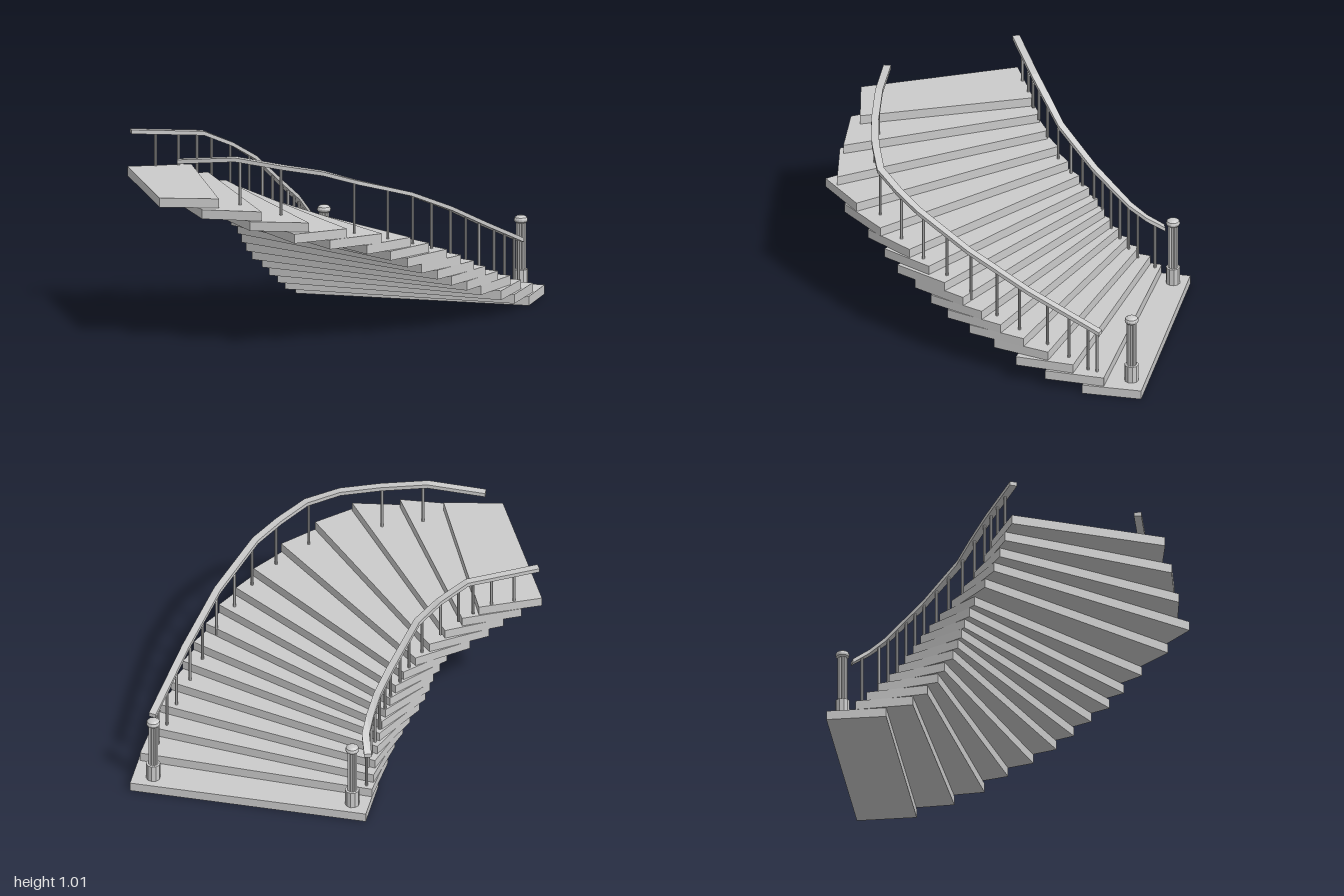
import * as THREE from 'three';

const RISE = 0.05;
const mat = new THREE.MeshStandardMaterial({ color: 0xcccccc, flatShading: true });

// Plan corners [x, z] of each tread: lead and trail edges on both sides of the flight
const innerLead = [[-.28, -.945], [-.28, -.79], [-.275, -.73], [-.27, -.67], [-.27, -.61], [-.27, -.56], [-.275, -.52], [-.285, -.48],
  [-.3, -.44], [-.32, -.39], [-.35, -.33], [-.4, -.26], [-.46, -.19], [-.53, -.12], [-.61, -.06], [-.69, -.01]];
const innerTrail = [[-.28, -.625], [-.3, -.48], [-.32, -.4], [-.35, -.34], [-.38, -.3], [-.42, -.25], [-.445, -.22], [-.465, -.2],
  [-.48, -.18], [-.51, -.15], [-.54, -.12], [-.65, -.05], [-.74, .01], [-.81, .05], [-.9, .09], [-1, .14]];
const outerLead = [[1, -.945], [.99, -.74], [.97, -.57], [.95, -.43], [.92, -.29], [.885, -.16], [.85, -.05], [.81, .06],
  [.76, .17], [.69, .27], [.62, .39], [.51, .57], [.36, .73], [.19, .87], [-.065, .89], [-.31, .85]];
const outerTrail = [[1, -.625], [.975, -.42], [.945, -.255], [.87, -.12], [.83, .02], [.78, .15], [.73, .25], [.67, .35],
  [.62, .455], [.55, .54], [.45, .65], [.29, .81], [.13, .945], [-.12, .92], [-.385, .915], [-.62, .91]];

// Handrail centre lines, from the upper end down
const outerRail = [[-.56, .972, .755], [-.25, .995, .735], [0, .958, .705], [.21, .928, .658], [.38, .876, .595], [.5, .825, .47],
  [.6, .775, .34], [.74, .645, .04], [.84, .497, -.3], [.93, .337, -.71]];
const innerRail = [[-.98, .992, .145], [-.63, .968, -.03], [-.5, .895, -.13], [-.4, .81, -.22], [-.3, .632, -.42], [-.255, .54, -.54],
  [-.235, .462, -.63], [-.23, .4, -.72], [-.262, .335, -.81]];

function add(parent, name, geometry, x = 0, y = 0, z = 0) {
  const mesh = new THREE.Mesh(geometry, mat);
  mesh.name = name;
  mesh.position.set(x, y, z);
  parent.add(mesh);
  return mesh;
}

// Slab from a plan outline
function treadGeometry(corners) {
  const shape = new THREE.Shape(corners.map(([x, z]) => new THREE.Vector2(x, -z)));
  return new THREE.ExtrudeGeometry(shape, { depth: RISE, bevelEnabled: false }).rotateX(-Math.PI / 2);
}

// Upright rectangular bar swept along a polyline
function railGeometry(path, width, height) {
  const pts = path.map(p => new THREE.Vector3(...p));
  const up = new THREE.Vector3(0, 1, 0);
  const pos = [], index = [];
  pts.forEach((p, i) => {
    const next = pts[Math.min(i + 1, pts.length - 1)], prev = pts[Math.max(i - 1, 0)];
    const side = next.clone().sub(prev).cross(up).normalize();
    for (const [s, h] of [[-1, -1], [1, -1], [1, 1], [-1, 1]]) {
      const v = p.clone().addScaledVector(side, s * width / 2).addScaledVector(up, h * height / 2);
      pos.push(v.x, v.y, v.z);
    }
    if (i === 0) return;
    for (let j = 0; j < 4; j++) {
      const k = (j + 1) % 4, a = (i - 1) * 4, b = i * 4;
      index.push(a + j, b + j, b + k, a + j, b + k, a + k);
    }
  });
  const e = (pts.length - 1) * 4;
  index.push(0, 1, 2, 0, 2, 3, e, e + 2, e + 1, e, e + 3, e + 2);
  const g = new THREE.BufferGeometry();
  g.setAttribute('position', new THREE.Float32BufferAttribute(pos, 3));
  g.setIndex(index);
  const flat = g.toNonIndexed();
  flat.computeVertexNormals();
  return flat;
}

// Point on a rail at a given z (rails run steadily towards -z)
function railAt(path, z) {
  let i = 0;
  while (i < path.length - 2 && path[i + 1][2] > z) i++;
  const a = new THREE.Vector3(...path[i]), b = new THREE.Vector3(...path[i + 1]);
  return a.lerp(b, (z - a.z) / (b.z - a.z));
}

// Handrail with its balusters; drop gives the baluster length from top to bottom of the flight
function balustrade(name, path, zs, dropTop, dropBottom) {
  const group = new THREE.Group();
  group.name = name;
  add(group, 'handrail', railGeometry(path, 0.04, 0.022));
  zs.forEach((z, i) => {
    const p = railAt(path, z);
    const drop = THREE.MathUtils.lerp(dropTop, dropBottom, i / (zs.length - 1));
    add(group, 'baluster', new THREE.CylinderGeometry(0.008, 0.008, drop, 8), p.x, p.y - drop / 2, p.z);
  });
  return group;
}

// Newel post: octagonal foot, fluted shaft, collar and rounded cap
function newelPost(x, z) {
  const post = new THREE.Group();
  post.name = 'newelPost';
  post.position.set(x, RISE, z);
  add(post, 'foot', new THREE.CylinderGeometry(0.038, 0.038, 0.095, 10), 0, 0.0475, 0);
  const flutes = new THREE.Shape();
  for (let i = 0; i < 24; i++) {
    const r = i % 2 ? 0.021 : 0.027, a = i * Math.PI / 12;
    flutes[i ? 'lineTo' : 'moveTo'](r * Math.cos(a), r * Math.sin(a));
  }
  const shaft = new THREE.ExtrudeGeometry(flutes, { depth: 0.26, bevelEnabled: false }).rotateX(-Math.PI / 2);
  add(post, 'shaft', shaft, 0, 0.09, 0);
  const cap = [[0, 0], [0.026, 0], [0.035, 0.008], [0.037, 0.018], [0.033, 0.03], [0.02, 0.039], [0, 0.042]];
  add(post, 'cap', new THREE.LatheGeometry(cap.map(p => new THREE.Vector2(...p)), 16), 0, 0.345, 0);
  return post;
}

export function createModel() {
  const model = new THREE.Group();
  model.name = 'curvedStaircase';

  // Overlapping treads
  const treads = new THREE.Group();
  treads.name = 'treads';
  model.add(treads);
  innerLead.forEach((c, i) => {
    add(treads, 'tread', treadGeometry([c, innerTrail[i], outerTrail[i], outerLead[i]]), 0, i * RISE, 0);
  });

  // Railings on both sides
  model.add(balustrade('outerBalustrade', outerRail,
    [.732, .706, .6, .455, .315, .175, .03, -.12, -.25, -.41, -.53, -.64, -.69], 0.28, 0.29));
  model.add(balustrade('innerBalustrade', innerRail,
    [.085, .03, -.015, -.06, -.125, -.2, -.28, -.35, -.42, -.47, -.52, -.57, -.62, -.67, -.76], 0.2, 0.285));

  // Newel posts on the bottom tread
  for (const x of [-0.19, 0.89]) model.add(newelPost(x, -0.87));
  return model;
}
